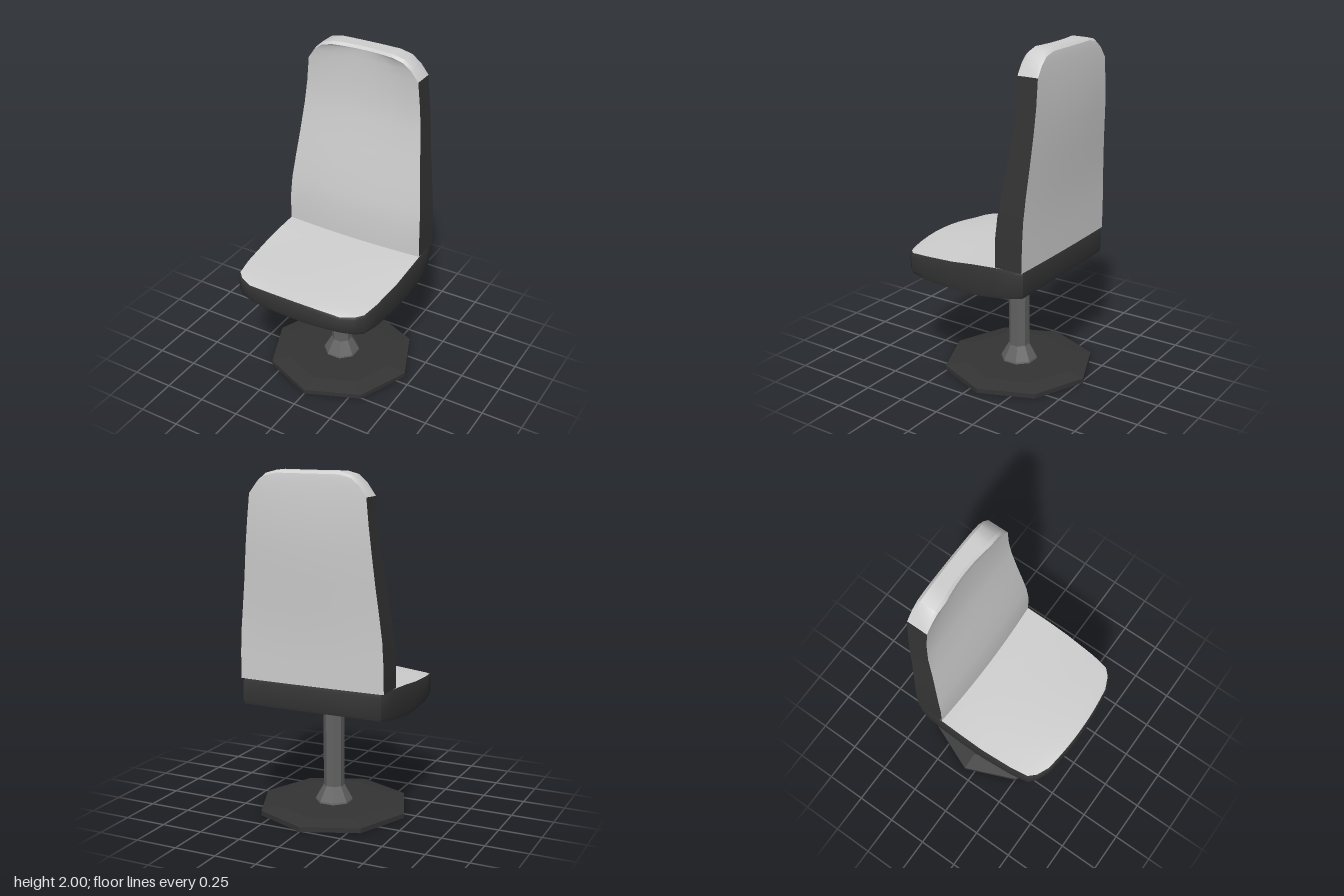
import * as THREE from 'three';
import { toCreasedNormals } from 'three/addons/utils/BufferGeometryUtils.js';

const material = (name, color) => Object.assign(new THREE.MeshStandardMaterial({ color }), { name });
const COLUMNS = 8;

// Grid surface from a point function; faces look along (i direction) x (j direction)
function grid(ni, nj, point, flip = false) {
  const pos = [], index = [];
  for (let j = 0; j <= nj; j++) for (let i = 0; i <= ni; i++) pos.push(...point(i, j));
  for (let j = 0; j < nj; j++) for (let i = 0; i < ni; i++) {
    const a = j * (ni + 1) + i, b = a + 1, d = a + ni + 1, c = d + 1;
    index.push(...(flip ? [a, c, b, a, d, c] : [a, b, c, a, c, d]));
  }
  const g = new THREE.BufferGeometry();
  g.setAttribute('position', new THREE.Float32BufferAttribute(pos, 3));
  g.setIndex(index);
  return toCreasedNormals(g, 0.65);
}

// Cushion from rows [t, halfWidth, face, rear, faceBulge, rearBulge, bow]
function cushion(rows, place, swell) {
  const at = (r, u, k) => {
    const [t, w, face, rear, fb, rb, bow] = rows[r];
    const round = 1 - u * u;
    const f = face + fb * round, b = rear + rb * round;
    const [x, tt] = swell(w * u, t + bow * round, k > 0 && k < 1);
    return place(x, tt, b + (f - b) * k);
  };
  const across = i => -1 + 2 * i / COLUMNS;
  return {
    panel: k => grid(COLUMNS, rows.length - 1, (i, j) => at(j, across(i), k), k === 0),
    // Rim strip along a path of [row, u], anticlockwise seen from the face
    rim: path => grid(path.length - 1, 3, (i, j) => at(path[i][0], path[i][1], [0, 0.15, 0.88, 1][j])),
  };
}

// Path pieces round a cushion's outline
const side = (from, to, u) => {
  const step = Math.sign(to - from), out = [];
  for (let r = from; r !== to + step; r += step) out.push([r, u]);
  return out;
};
const edge = (r, dir) => Array.from({ length: COLUMNS + 1 }, (_, i) => [r, dir * (-1 + 2 * i / COLUMNS)]);

export function createModel() {
  const group = new THREE.Group();
  const light = material('lightUpholstery', 0xcfcfcf);
  const dark = material('darkTrim', 0x343434);
  const grey = material('greyColumn', 0x626262);
  const add = (name, geometry, mat, parent = group) => {
    const mesh = new THREE.Mesh(geometry, mat);
    mesh.name = name;
    parent.add(mesh);
    return mesh;
  };

  // Octagonal foot and flared column
  const lathe = points => toCreasedNormals(
    new THREE.LatheGeometry(points.map(p => new THREE.Vector2(...p)), 8), 0.1);
  add('footPlate', lathe([[0, 0], [0.45, 0], [0.45, 0.028], [0.34, 0.045], [0, 0.045]]), dark)
    .position.z = -0.062;
  const column = add('column', lathe([[0.112, 0.04], [0.108, 0.055], [0.062, 0.14], [0.062, 0.6],
    [0.09, 0.618], [0.09, 0.635]]), grey);
  column.position.z = -0.062;
  column.rotation.y = Math.PI / 8;

  // Seat, rows from front to back
  const seat = new THREE.Group();
  seat.name = 'seat';
  group.add(seat);
  const seatRows = [
    [0.478, 0.30, 0.745, 0.640, 0.018, 0.000, 0.025],
    [0.445, 0.375, 0.750, 0.634, 0.016, 0.000, 0.022],
    [0.405, 0.415, 0.755, 0.628, 0.016, -0.002, 0.014],
    [0.30, 0.433, 0.765, 0.617, 0.016, -0.004, 0],
    [0.10, 0.447, 0.780, 0.612, 0.012, -0.004, 0],
    [-0.05, 0.448, 0.797, 0.614, 0.004, -0.004, 0],
    [-0.20, 0.446, 0.808, 0.630, 0, -0.004, 0],
    [-0.31, 0.440, 0.810, 0.648, 0, -0.002, 0],
    [-0.362, 0.425, 0.808, 0.658, 0, 0, -0.004],
  ];
  const seatShape = cushion(seatRows, (x, t, d) => [x, d, t],
    (x, t, mid) => mid ? [x * 1.015, t * 1.015] : [x, t]);
  const back = seatRows.length - 1;
  add('seatTop', seatShape.panel(1), light, seat);
  add('seatUnderside', seatShape.panel(0), light, seat);
  add('seatRim', seatShape.rim([...edge(0, 1), ...side(1, back, 1),
    ...edge(back, -1).slice(1), ...side(back - 1, 0, -1)]), dark, seat);

  // Backrest, rows from bottom to top
  const rest = new THREE.Group();
  rest.name = 'backrest';
  group.add(rest);
  const restRows = [
    [0.81, 0.445, -0.195, -0.365, 0.017, -0.006, 0],
    [0.97, 0.442, -0.192, -0.367, 0.015, -0.006, 0],
    [1.10, 0.435, -0.203, -0.369, 0.012, -0.008, 0],
    [1.25, 0.418, -0.224, -0.376, 0.009, -0.010, 0],
    [1.40, 0.400, -0.246, -0.386, 0.006, -0.011, 0],
    [1.58, 0.382, -0.273, -0.398, 0, -0.011, 0],
    [1.72, 0.367, -0.281, -0.403, -0.006, -0.008, 0],
    [1.87, 0.352, -0.277, -0.402, -0.012, -0.006, 0],
    [1.93, 0.307, -0.273, -0.399, -0.016, -0.004, 0],
    [1.967, 0.260, -0.270, -0.397, -0.018, -0.003, 0],
    [1.985, 0.190, -0.268, -0.395, -0.018, -0.002, 0],
  ];
  const restShape = cushion(restRows, (x, t, d) => [x, t, d],
    (x, t, mid) => [x, mid ? t + 0.015 * Math.min(1, Math.max(0, (t - 1.87) / 0.08)) : t]);
  const shoulder = 7, top = restRows.length - 1;
  add('backrestFront', restShape.panel(1), light, rest);
  add('backrestRear', restShape.panel(0), light, rest);
  add('backrestLeftSide', restShape.rim(side(0, shoulder, 1)), dark, rest);
  add('backrestRightSide', restShape.rim(side(shoulder, 0, -1)), dark, rest);
  add('backrestBottom', restShape.rim(edge(0, 1)), dark, rest);
  add('backrestTop', restShape.rim([...side(shoulder, top - 1, 1), ...edge(top, -1),
    ...side(top - 1, shoulder, -1)]), light, rest);
  return group;
}
